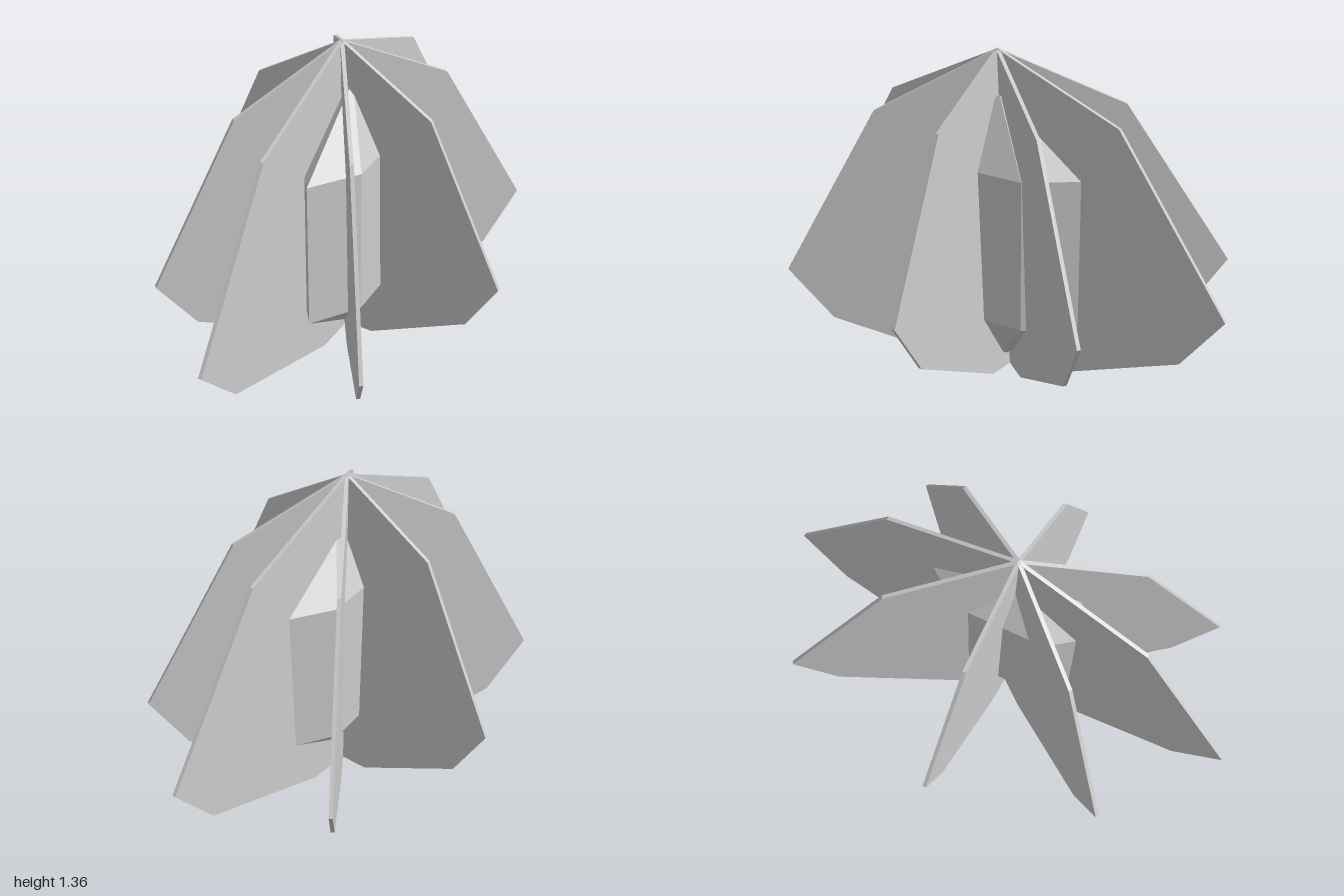
import * as THREE from 'three';

const material = new THREE.MeshStandardMaterial({ color: 0xcccccc, flatShading: true });
const THICKNESS = 0.015;

// Half outline of a leaf card: [fraction of half width, height]
const HALF_OUTLINE = [[0.185, 0], [0.81, 0.227], [1, 0.452], [0.55, 1.122]];

// Thin upright card, symmetric about its own centre line
function leafCard(halfWidth) {
  const right = HALF_OUTLINE.map(([f, y]) => new THREE.Vector2(f * halfWidth, y));
  const left = right.map((p) => new THREE.Vector2(-p.x, p.y)).reverse();
  const shape = new THREE.Shape([...right, new THREE.Vector2(0, 1.357), ...left]);
  const geometry = new THREE.ExtrudeGeometry(shape, { depth: THICKNESS, bevelEnabled: false });
  return geometry.translate(0, 0, -THICKNESS / 2);
}

export function createModel() {
  const model = new THREE.Group();
  model.name = 'bush';

  // Four cards crossing on one slightly leaning axis: [direction x, direction z, half width]
  const foliage = new THREE.Group();
  foliage.name = 'foliage';
  const cards = [[-0.06, 0.98, 1], [0.47, 0.77, 0.9], [-0.505, 0.635, 0.81], [0.695, 0.045, 0.7]];
  cards.forEach(([dx, dz, halfWidth], i) => {
    const card = new THREE.Mesh(leafCard(halfWidth), material);
    card.name = `leafCard${i + 1}`;
    card.rotation.y = Math.atan2(-dz, dx);
    foliage.add(card);
  });
  foliage.position.set(-0.015, 0.012, -0.015);
  foliage.rotation.set(0.04, 0, -0.008);
  model.add(foliage);

  // Flattened six-sided core with pointed ends
  const profile = [[0, 0.055], [0.37, 0.28], [0.37, 0.913], [0, 1.195]];
  const points = profile.map(([r, y]) => new THREE.Vector2(r, y));
  const core = new THREE.Mesh(new THREE.LatheGeometry(points, 6), material);
  core.name = 'core';
  core.scale.x = 0.415;
  core.position.set(0.027, 0, 0.01);
  model.add(core);

  return model;
}
